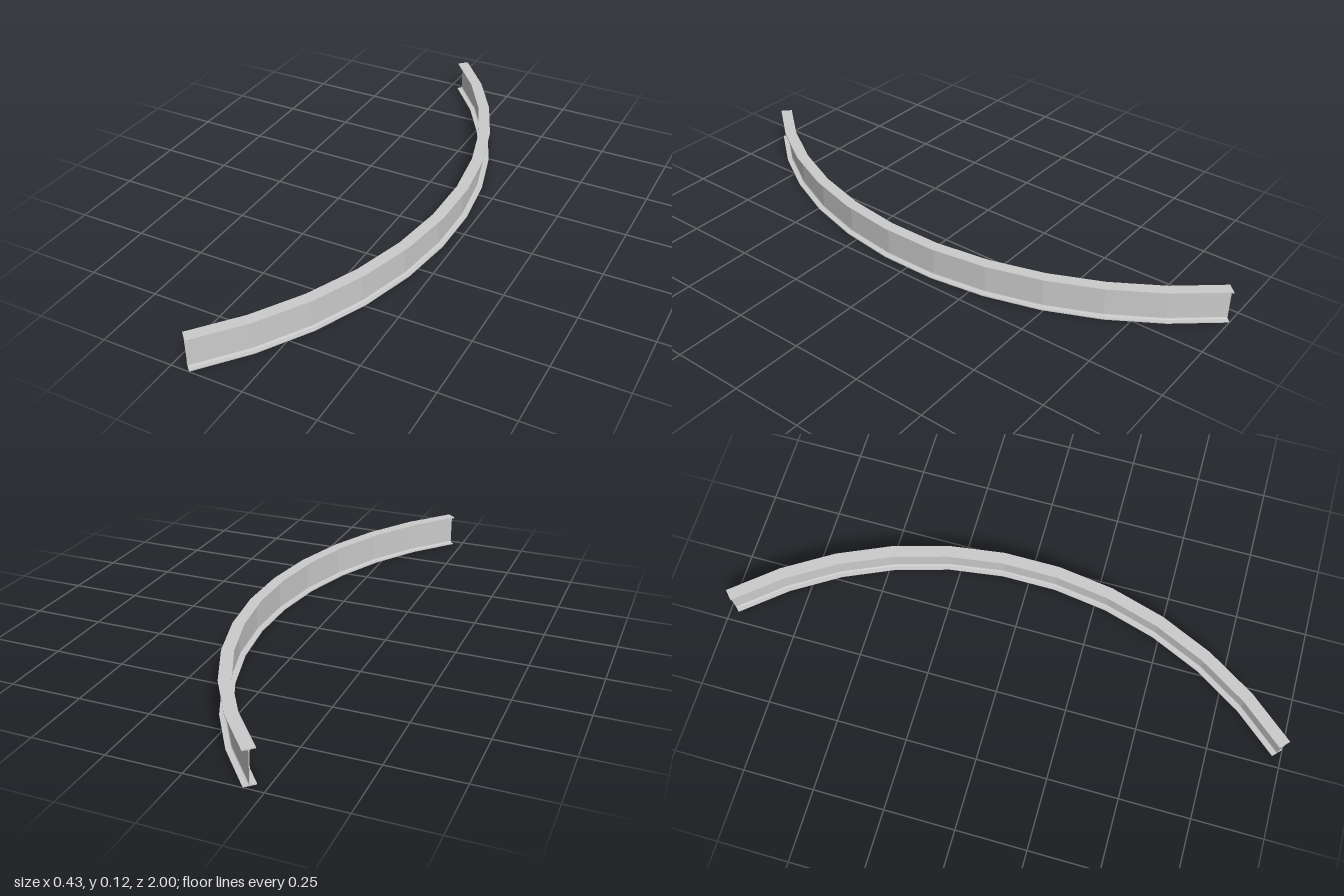
import * as THREE from 'three';

const HALF_ANGLE = THREE.MathUtils.degToRad(44);
const SEGMENTS = 11;
const FLANGE = 0.021;    // half flange width
const HEIGHT = 0.119;
const THICK = 0.0035;    // flange thickness
const WEB = 0.0015;      // half web thickness
const FILLET = 0.005;
const RADIUS = 1 / Math.sin(HALF_ANGLE) - FLANGE;

// I-section outline, counter-clockwise: a quarter mirrored to all four corners
function beamSection() {
  const quarter = [
    [FLANGE, 0],
    [FLANGE, THICK],
    [WEB + FILLET, THICK],
    [WEB + FILLET * 0.3, THICK + FILLET * 0.3],
    [WEB, THICK + FILLET],
  ];
  const right = [...quarter, ...quarter.map(([x, y]) => [x, HEIGHT - y]).reverse()];
  const left = right.map(([x, y]) => [-x, y]).reverse();
  return new THREE.Shape([...right, ...left].map(([x, y]) => new THREE.Vector2(x, y)));
}

export function createModel() {
  const group = new THREE.Group();
  group.name = 'curvedBeam';

  // Straight beam, then bent round a vertical axis
  const geometry = new THREE.ExtrudeGeometry(beamSection(), {
    depth: 1, steps: SEGMENTS, bevelEnabled: false,
  });
  const p = geometry.attributes.position;
  for (let i = 0; i < p.count; i++) {
    const r = RADIUS + p.getX(i);
    const a = (p.getZ(i) * 2 - 1) * HALF_ANGLE;
    p.setXYZ(i, r * Math.cos(a), p.getY(i), r * Math.sin(a));
  }

  // Centre the arc on x
  geometry.computeBoundingBox();
  const { min, max } = geometry.boundingBox;
  geometry.translate(-(min.x + max.x) / 2, 0, 0);
  geometry.computeVertexNormals();

  const beam = new THREE.Mesh(
    geometry,
    new THREE.MeshStandardMaterial({ color: 0xcccccc, flatShading: true })
  );
  beam.name = 'iBeam';
  group.add(beam);
  return group;
}
